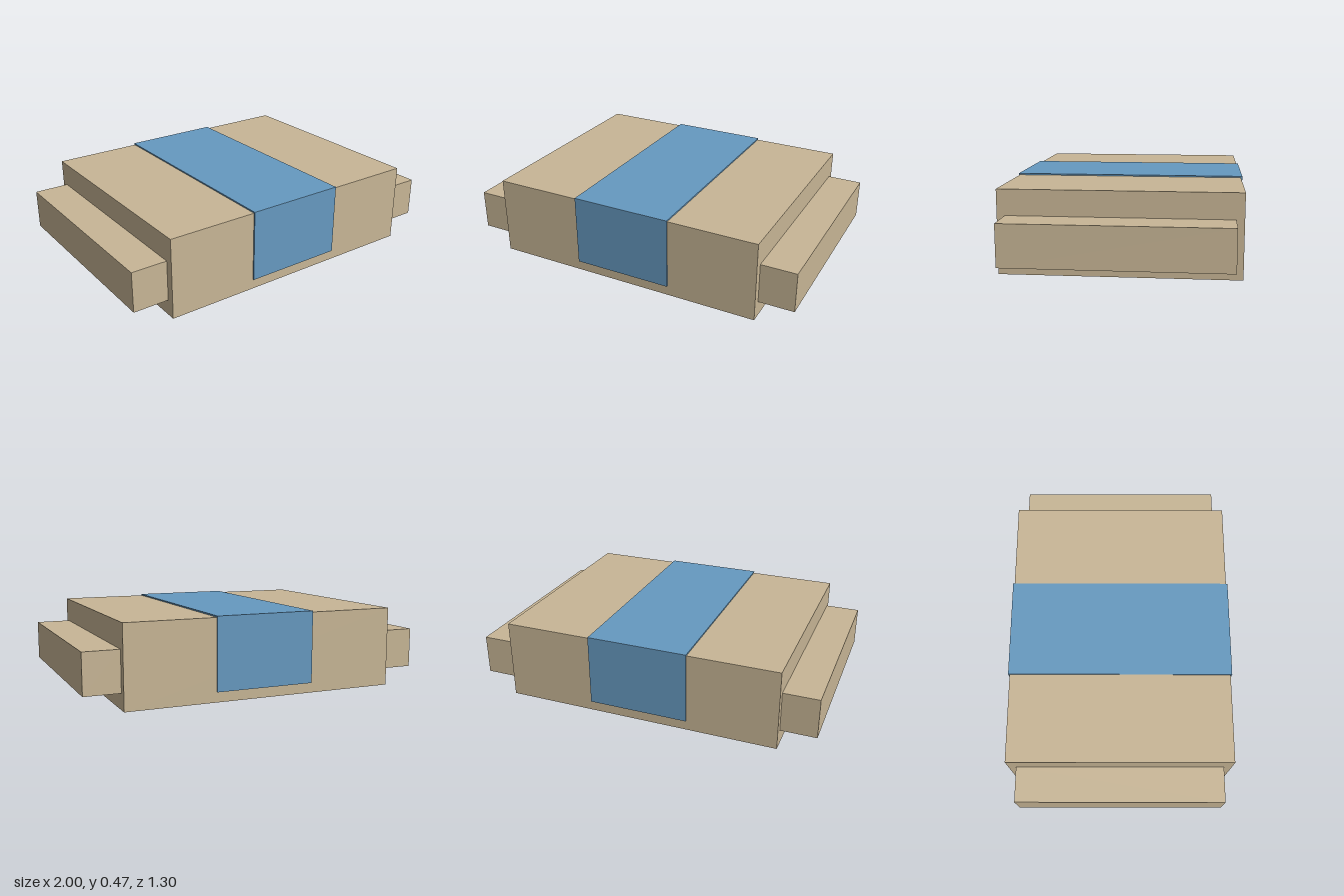
import * as THREE from 'three';

export function createModel() {
  const model = new THREE.Group();
  const tan = new THREE.MeshStandardMaterial({ color: 0xc8b696 });
  tan.name = 'tan';
  const blue = new THREE.MeshStandardMaterial({ color: 0x6699c0 });
  blue.name = 'blue';

  const bodyHeight = 0.457, bodyHalfDepth = 0.642;

  function box(name, w, h, d, x, y, z, material) {
    const mesh = new THREE.Mesh(new THREE.BoxGeometry(w, h, d), material);
    mesh.name = name;
    mesh.position.set(x, y, z);
    model.add(mesh);
  }

  // Main block
  box('body', 1.6, bodyHeight, bodyHalfDepth * 2, 0, bodyHeight / 2, 0, tan);

  // Ledges along both sides
  for (const [name, side] of [['leftLedge', 1], ['rightLedge', -1]]) {
    box(name, 0.2, 0.228, 1.196, side * 0.9, 0.203, 0, tan);
  }

  // Thin band folded over the top and down the front and back
  const t = 0.008, width = 0.576, hem = 0.057;
  const top = bodyHeight + t, outer = bodyHalfDepth + t;
  box('bandTop', width, t, outer * 2, 0, top - t / 2, 0, blue);
  for (const [name, side] of [['bandFront', 1], ['bandBack', -1]]) {
    box(name, width, bodyHeight - hem, t, 0, (bodyHeight + hem) / 2, side * (outer - t / 2), blue);
  }

  return model;
}
